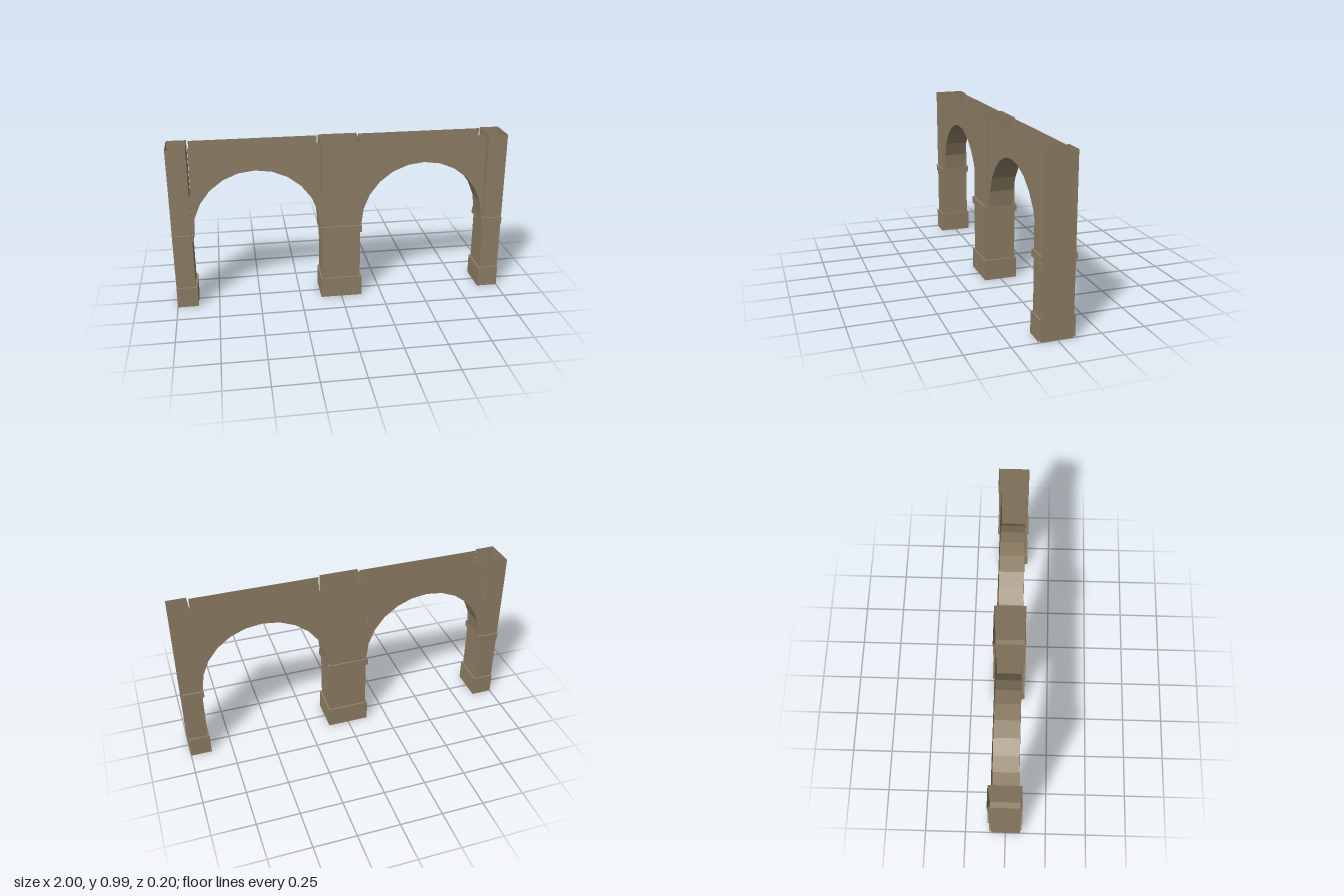
import * as THREE from 'three';

const stone = new THREE.MeshStandardMaterial({ color: 0x8f7f66, side: THREE.DoubleSide });
stone.name = 'stone';

const FACES = ['right', 'left', 'top', 'bottom', 'front', 'back'];
const TOP = 0.99, SPRING = 0.465, INNER = 0.375, OUTER = 0.45, WALL_Z = 0.073;

// Hollow box from x0 to x1 and y0 to y1, leaving out the named faces
function shell(name, x0, x1, y0, y1, halfDepth, open) {
  const g = new THREE.BoxGeometry(x1 - x0, y1 - y0, halfDepth * 2);
  const all = Array.from(g.index.array);
  g.setIndex(FACES.flatMap((f, i) => (open.includes(f) ? [] : all.slice(i * 6, i * 6 + 6))));
  g.clearGroups();
  g.translate((x0 + x1) / 2, (y0 + y1) / 2, 0);
  const mesh = new THREE.Mesh(g, stone);
  mesh.name = name;
  return mesh;
}

// Pier shaft with a plinth and a cornice; outer is the face at the end of the wall
function pier(name, x0, x1, outer) {
  const group = new THREE.Group();
  group.name = name;
  const a = outer === 'left' ? x0 : x0 - 0.01;
  const b = outer === 'right' ? x1 : x1 + 0.01;
  group.add(
    shell('shaft', x0, x1, 0, TOP, 0.09, ['top', 'bottom']),
    shell('plinth', a, b, 0, 0.125, 0.1, ['bottom', outer]),
    shell('cornice', a, b, 0.425, SPRING, 0.1, [outer])
  );
  return group;
}

// Points on the arch from left to right; angles in degrees from the crown
function arc(radius, angles) {
  return angles.map((d) => {
    const t = THREE.MathUtils.degToRad(d);
    return new THREE.Vector2(Math.sin(t) * radius, SPRING + Math.cos(t) * radius);
  });
}

// The same flat panel on the front and on the back
function panels(name, points) {
  const group = new THREE.Group();
  group.name = name;
  for (const side of [1, -1]) {
    const mesh = new THREE.Mesh(new THREE.ShapeGeometry(new THREE.Shape(points)), stone);
    mesh.name = name + (side > 0 ? 'Front' : 'Back');
    mesh.position.z = side * WALL_Z;
    if (side < 0) mesh.rotation.y = Math.PI;
    group.add(mesh);
  }
  return group;
}

function archBay(name, x) {
  const group = new THREE.Group();
  group.name = name;
  const v = (px, py) => new THREE.Vector2(px, py);
  const inner = arc(INNER, Array.from({ length: 13 }, (_, i) => -90 + i * 15));
  const crown = arc(OUTER, [-45, -30, -15, 0, 15, 30, 45]);

  // Arch ring, cut off where it meets the piers
  group.add(panels('archRing', [
    ...inner, v(0.385, SPRING), v(0.385, 0.698), ...crown.slice().reverse(),
    v(-0.385, 0.698), v(-0.385, SPRING)
  ]));

  // Wall above the ring, open along its top
  group.add(panels('spandrel', [
    v(-0.375, TOP), v(-0.375, 0.711), ...crown, v(0.375, 0.711), v(0.375, TOP)
  ]));

  // Faceted underside of the arch
  const pos = [];
  for (let i = 0; i < inner.length - 1; i++) {
    const p = inner[i], q = inner[i + 1];
    const corners = [[p, 1], [p, -1], [q, 1], [q, 1], [p, -1], [q, -1]];
    for (const [c, s] of corners.reverse()) pos.push(c.x, c.y, s * WALL_Z);
  }
  const g = new THREE.BufferGeometry();
  g.setAttribute('position', new THREE.Float32BufferAttribute(pos, 3));
  g.computeVertexNormals();
  const soffit = new THREE.Mesh(g, stone);
  soffit.name = 'soffit';
  group.add(soffit);

  group.position.x = x;
  return group;
}

export function createModel() {
  const model = new THREE.Group();
  model.name = 'doubleArcade';
  model.add(
    pier('rightPier', -1, -0.885, 'left'),
    pier('middlePier', -0.115, 0.115, ''),
    pier('leftPier', 0.885, 1, 'right'),
    archBay('rightArch', -0.5),
    archBay('leftArch', 0.5)
  );
  return model;
}
